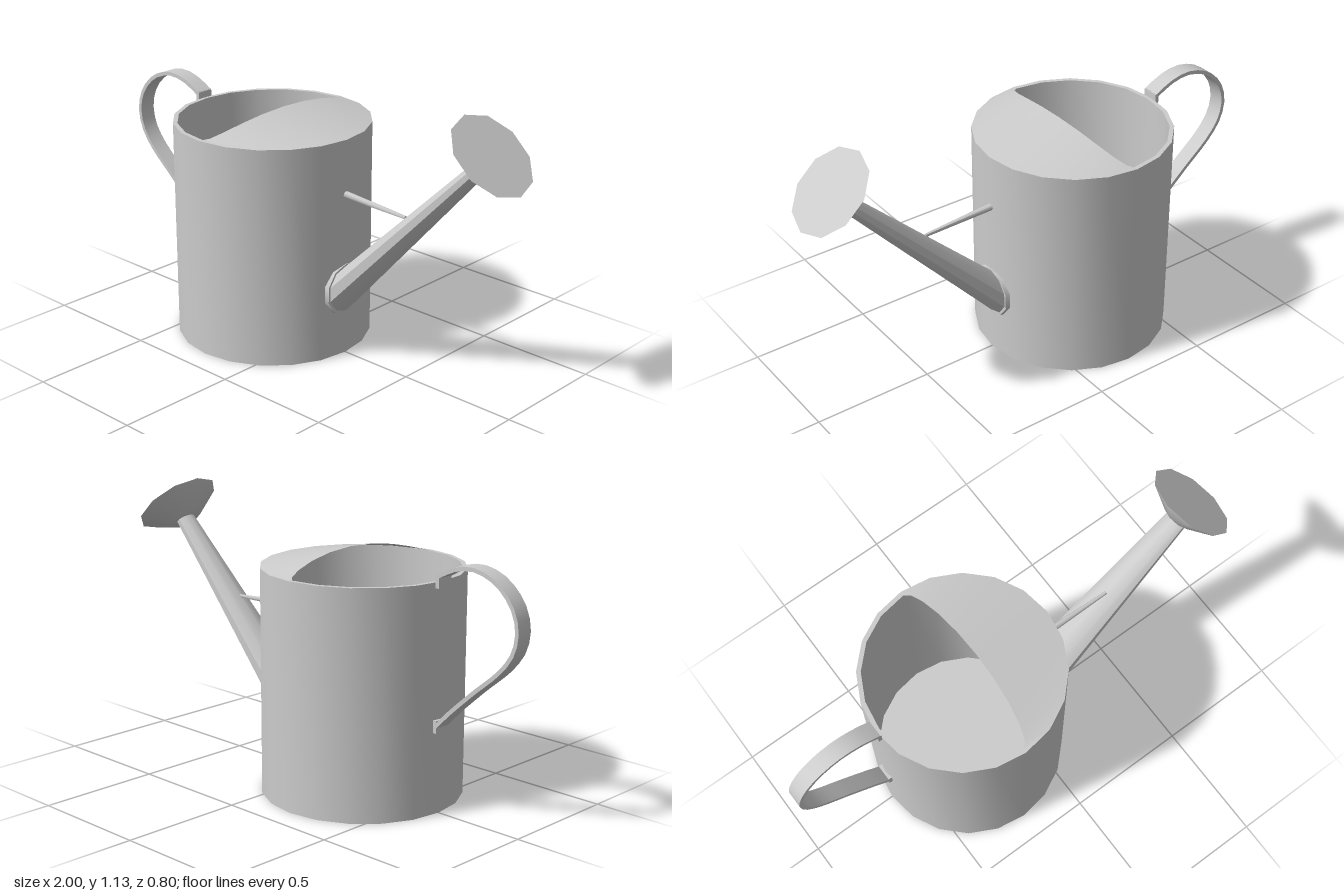
import * as THREE from 'three';
import { toCreasedNormals } from 'three/addons/utils/BufferGeometryUtils.js';

const BODY_X = -0.22, RADIUS = 0.4, HEIGHT = 0.905, SIDES = 20;
const SPOUT_BASE = [0.18, 0.28], SPOUT_TIP = [0.825, 0.95];

export function createModel() {
  const group = new THREE.Group();
  group.name = 'wateringCan';
  const material = new THREE.MeshStandardMaterial({ color: 0xcccccc, side: THREE.DoubleSide });

  const add = (name, geometry, crease = 0.75) => {
    const mesh = new THREE.Mesh(crease ? toCreasedNormals(geometry, crease) : geometry, material);
    mesh.name = name;
    group.add(mesh);
    return mesh;
  };

  // Tapered tube between two points in the xy plane whose cross-sections stay upright (sheared)
  const shearedTube = ([x0, y0], [x1, y1], r0, r1, sides) => {
    const g = new THREE.CylinderGeometry(r1, r0, 1, sides, 1, false, Math.PI / 2);
    g.rotateZ(-Math.PI / 2);
    const p = g.attributes.position;
    for (let i = 0; i < p.count; i++) {
      const t = p.getX(i) + 0.5;
      p.setXYZ(i, x0 + (x1 - x0) * t, p.getY(i) + y0 + (y1 - y0) * t, p.getZ(i));
    }
    return g;
  };

  // Hollow body with wall thickness and a floor
  const profile = [[0, 0], [RADIUS, 0], [RADIUS, HEIGHT], [0.382, HEIGHT], [0.382, 0.02], [0, 0.02]]
    .map(([r, y]) => new THREE.Vector2(r, y));
  add('body', new THREE.LatheGeometry(profile, SIDES)).position.x = BODY_X;

  // Raised half cover, lofted from the front rim to an arched ridge
  const verts = [], index = [];
  for (let i = 0; i <= SIDES / 2; i++) {
    const t = -Math.PI / 2 + (i * 2 * Math.PI) / SIDES;
    const c = Math.cos(t), s = Math.sin(t);
    verts.push(BODY_X + RADIUS * c, HEIGHT, RADIUS * s);
    verts.push(BODY_X + 0.067 * c, HEIGHT + 0.063 * c * c, 0.382 * s);
    if (i < SIDES / 2) {
      const a = 2 * i;
      index.push(a + 1, a + 3, a, a, a + 3, a + 2);
    }
  }
  const cover = new THREE.BufferGeometry();
  cover.setAttribute('position', new THREE.Float32BufferAttribute(verts, 3));
  cover.setIndex(index);
  cover.computeVertexNormals();
  add('cover', cover, 0);

  // Spout, started just inside the wall, with a collar where it meets the body
  const slope = (SPOUT_TIP[1] - SPOUT_BASE[1]) / (SPOUT_TIP[0] - SPOUT_BASE[0]);
  add('spout', shearedTube([0.155, SPOUT_BASE[1] - 0.025 * slope], SPOUT_TIP, 0.099, 0.045, 10));
  add('spoutCollar', shearedTube([0.15, 0.28], [0.182, 0.28], 0.112, 0.107, 10));

  // Flared rose at the spout's tip
  const rose = new THREE.CylinderGeometry(0.18, 0.069, 0.08, 10, 1, false, Math.PI / 2);
  rose.rotateZ(-0.756);
  rose.translate(0.843, 0.978, 0);
  add('rose', rose);

  // Brace from body to spout
  add('brace', shearedTube([0.16, 0.681], [0.48, 0.665], 0.015, 0.007, 8), 0.9);

  // Handle: flat strap following a curve
  const path = new THREE.CatmullRomCurve3([
    [-0.622, 0.927], [-0.7, 0.965], [-0.79, 0.978], [-0.89, 0.945], [-0.965, 0.87],
    [-0.992, 0.785], [-0.975, 0.7], [-0.92, 0.625], [-0.8, 0.52], [-0.68, 0.41], [-0.622, 0.35],
  ].map(([x, y]) => new THREE.Vector3(x, y, 0)));
  const outer = [], inner = [], half = 0.008, width = 0.07;
  for (let i = 0; i <= 24; i++) {
    const p = path.getPointAt(i / 24), d = path.getTangentAt(i / 24);
    outer.push(new THREE.Vector2(p.x + d.y * half, p.y - d.x * half));
    inner.push(new THREE.Vector2(p.x - d.y * half, p.y + d.x * half));
  }
  const strap = new THREE.ExtrudeGeometry(new THREE.Shape([...outer, ...inner.reverse()]),
    { depth: width, bevelEnabled: false });
  strap.translate(0, 0, -width / 2);
  add('handle', strap);

  // Tabs fixing the handle to the wall
  for (const [name, y] of [['upperHandleTab', 0.908], ['lowerHandleTab', 0.351]]) {
    add(name, new THREE.BoxGeometry(0.016, 0.05, width)).position.set(-0.622, y, 0);
  }

  return group;
}
